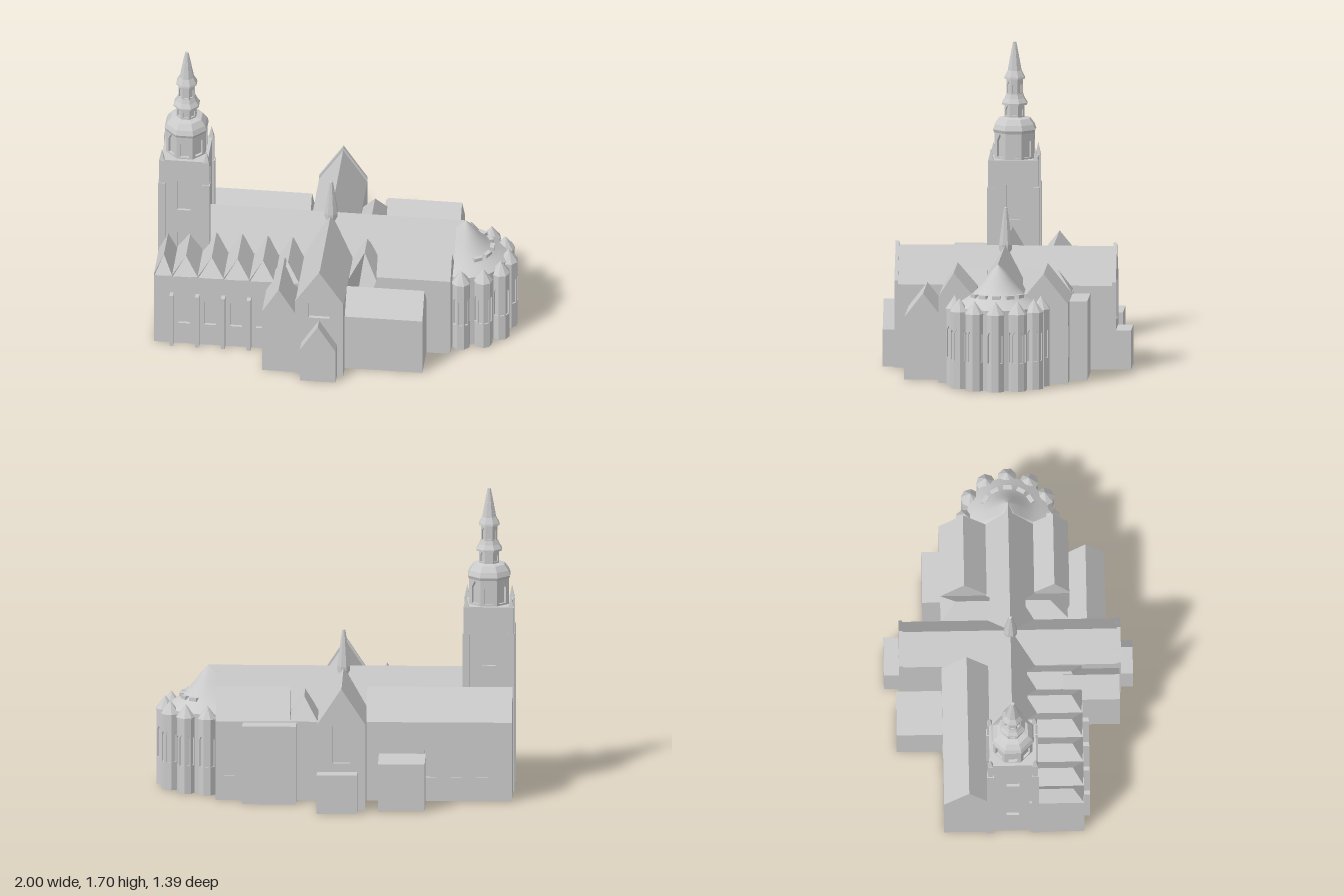
import * as THREE from 'three';

const grey = new THREE.MeshStandardMaterial({ color: 0xcccccc });
const faceted = new THREE.MeshStandardMaterial({ color: 0xcccccc, flatShading: true });
const CZ = 0.012; // z of the main axis
const D = 0.015; // depth of window recesses
const OCT = Math.PI / 8;

function add(parent, name, geo, mat = grey) {
  const m = new THREE.Mesh(geo, mat);
  m.name = name;
  parent.add(m);
  return m;
}

function block(parent, name, x0, x1, y0, y1, z0, z1) {
  const g = new THREE.BoxGeometry(x1 - x0, y1 - y0, z1 - z0);
  g.translate((x0 + x1) / 2, (y0 + y1) / 2, (z0 + z1) / 2);
  return add(parent, name, g);
}

const poly = pts => new THREE.Shape(pts.map(p => new THREE.Vector2(p[0], p[1])));
const gable = (c0, c1, y0, eave, ridge, rc = (c0 + c1) / 2) =>
  [[c0, y0], [c1, y0], [c1, eave], [rc, ridge], [c0, eave]];

// Pitched building whose ridge runs along z
function houseZ(parent, name, x0, x1, z0, z1, y0, eave, ridge, rx) {
  const g = new THREE.ExtrudeGeometry(poly(gable(x0, x1, y0, eave, ridge, rx)), { depth: z1 - z0, bevelEnabled: false });
  g.translate(0, 0, z0);
  return add(parent, name, g);
}

// Pitched building whose ridge runs along x
function houseX(parent, name, x0, x1, z0, z1, y0, eave, ridge, rz = (z0 + z1) / 2) {
  const g = new THREE.ExtrudeGeometry(poly(gable(-z1, -z0, y0, eave, ridge, -rz)), { depth: x1 - x0, bevelEnabled: false });
  g.rotateY(Math.PI / 2).translate(x0, 0, 0);
  return add(parent, name, g);
}

// Cross roof with its outer end hipped back to zHip
function hipBay(parent, name, x0, x1, zIn, zOut, zHip, y0, eave, ridge, rx) {
  const m = houseZ(parent, name, x0, x1, Math.min(zIn, zOut), Math.max(zIn, zOut), y0, eave, ridge, rx);
  const p = m.geometry.attributes.position;
  for (let i = 0; i < p.count; i++)
    if (p.getY(i) > ridge - 1e-4 && Math.abs(p.getZ(i) - zOut) < 1e-4) p.setZ(i, zHip);
  m.geometry.computeVertexNormals();
}

// Wall panel pierced by pointed windows [x, halfWidth, bottom, top]; outer face at z = 0
function panel(parent, name, outline, windows, depth = D) {
  const s = poly(outline);
  for (const [x, w, b, t] of windows)
    s.holes.push(new THREE.Path([[x - w, b], [x - w, t - w * 1.6], [x, t], [x + w, t - w * 1.6], [x + w, b]]
      .map(p => new THREE.Vector2(p[0], p[1]))));
  const g = new THREE.ExtrudeGeometry(s, { depth, bevelEnabled: false });
  g.translate(0, 0, -depth);
  return add(parent, name, g);
}
const rect = (x0, x1, y0, y1) => [[x0, y0], [x1, y0], [x1, y1], [x0, y1]];

// Eight-sided turned part; radii measured to the flats
function octLathe(parent, name, pts) {
  const g = new THREE.LatheGeometry(pts.map(([r, y]) => new THREE.Vector2(r / Math.cos(OCT), y)), 8, OCT);
  return add(parent, name, g, faceted);
}

// Eight-sided stage with a window in every face
function octStage(parent, name, a, y0, y1, win, depth) {
  const core = a - depth, w = a * Math.tan(OCT);
  octLathe(parent, name + 'Core', [[0, y0], [core, y0], [core, y1], [0, y1]]);
  for (let i = 0; i < 8; i++) {
    const f = panel(parent, name + 'Face', rect(-w, w, y0, y1), [win], depth);
    f.rotation.y = i * Math.PI / 4;
    f.position.set(Math.sin(f.rotation.y) * a, 0, Math.cos(f.rotation.y) * a);
  }
}

function tower() {
  const t = new THREE.Group();
  t.name = 'tower';
  t.position.set(-0.855, 0, 0.008);
  block(t, 'towerCore', -0.115, 0.115, 0, 1.05, -0.115, 0.115);
  for (let i = 0; i < 4; i++) {
    const side = new THREE.Group();
    side.name = 'towerSide';
    side.rotation.y = i * Math.PI / 2;
    t.add(side);
    const low = i === 3 ? [0, 0.035, 0.25, 0.62] : [0, 0.037, 0.4, 0.62];
    panel(side, 'towerWall', rect(-0.13, 0.13, 0, 1.05), [[0, 0.037, 0.715, 0.97], low]).position.z = 0.13;
    block(side, 'cornerButtressLower', 0.105, 0.145, 0, 0.9, 0.105, 0.145);
    block(side, 'cornerButtressUpper', 0.11, 0.14, 0.9, 1.05, 0.11, 0.14);
    const pin = add(side, 'pinnacle', new THREE.ConeGeometry(0.02, 0.07, 4, 1).rotateY(Math.PI / 4), faceted);
    pin.position.set(0.125, 1.085, 0.125);
  }
  // Octagonal lantern, bell roofs and spire
  octStage(t, 'belfry', 0.11, 1.05, 1.2, [0, 0.025, 1.06, 1.19], D);
  octLathe(t, 'belfryRoof', [[0, 1.195], [0.112, 1.195], [0.118, 1.212], [0.108, 1.24], [0.085, 1.272], [0.055, 1.28], [0, 1.28]]);
  octStage(t, 'lantern', 0.055, 1.28, 1.355, [0, 0.014, 1.29, 1.345], 0.008);
  octLathe(t, 'lanternRoof', [[0, 1.35], [0.07, 1.35], [0.07, 1.36], [0.055, 1.385], [0.046, 1.41], [0, 1.41]]);
  octStage(t, 'upperLantern', 0.045, 1.4, 1.5, [0, 0.011, 1.415, 1.48], 0.007);
  octLathe(t, 'spire', [[0, 1.495], [0.057, 1.495], [0.055, 1.505], [0.038, 1.54], [0.024, 1.62], [0.01, 1.695], [0.01, 1.7], [0, 1.7]]);
  return t;
}

function apse() {
  const a = new THREE.Group();
  a.name = 'apse';
  a.position.set(0.71, 0, CZ);
  // Half round east end, straightened on its west side
  const round = (name, pts) => {
    const g = new THREE.LatheGeometry(pts.map(p => new THREE.Vector2(...p)), 48);
    const p = g.attributes.position;
    for (let i = 0; i < p.count; i++) if (p.getX(i) < -1e-4) p.setX(i, -0.05);
    add(a, name, g);
  };
  round('apseFloor', [[0, 0], [0.23, 0]]);
  round('apseWall', [[0.23, 0], [0.23, 0.45]]);
  round('apseRoof', [[0.23, 0.45], [0.19, 0.478], [0.15, 0.505], [0.11, 0.545], [0.07, 0.595], [0.035, 0.642], [0, 0.68]]);
  // Roof lights
  for (const deg of [-58, -30, 0, 30, 58]) {
    const r = deg * Math.PI / 180;
    const b = add(a, 'roofLight', new THREE.BoxGeometry(0.025, 0.02, 0.048));
    b.position.set(Math.cos(r) * 0.148, 0.512, -Math.sin(r) * 0.148);
    b.rotation.y = r;
  }
  // Ring of seven small chapels
  for (let i = -3; i <= 3; i++) {
    const r = i * Math.PI / 6;
    const c = new THREE.Group();
    c.name = 'chapel';
    c.position.set(Math.cos(r) * 0.24, 0, -Math.sin(r) * 0.24);
    c.rotation.y = r;
    a.add(c);
    octStage(c, 'chapel', 0.047, 0, 0.43, [0, 0.012, 0.16, 0.335], 0.008);
    octLathe(c, 'chapelRoof', [[0, 0.425], [0.05, 0.425], [0.05, 0.432], [0, 0.505]]);
  }
  return a;
}

export function createModel() {
  const g = new THREE.Group();
  g.name = 'church';
  g.add(tower(), apse());

  // Nave and transept
  houseX(g, 'nave', -0.75, 0.71, -0.12, 0.15, 0, 0.46, 0.68, CZ);
  houseZ(g, 'transept', -0.18, 0.09, -0.59, 0.605, 0, 0.47, 0.675);
  const gableWall = gable(-0.135, 0.135, 0, 0.49, 0.695);
  const win = [[0, 0.058, 0.385, 0.575]];
  panel(g, 'southGable', gableWall, win, 0.02).position.set(-0.045, 0, 0.625);
  const ng = panel(g, 'northGable', gableWall, [[0, 0.05, 0.27, 0.56]], 0.02);
  ng.position.set(-0.045, 0, -0.61);
  ng.rotation.y = Math.PI;
  houseZ(g, 'southPorch', -0.145, 0.055, 0.62, 0.692, 0, 0.21, 0.37);
  block(g, 'northPorch', -0.135, 0.09, 0, 0.22, -0.695, -0.6);

  // Crossing spirelet
  octLathe(g, 'crossingSpire', [[0, 0.6], [0.034, 0.6], [0.036, 0.68], [0.027, 0.75], [0.009, 0.885], [0, 0.89]])
    .position.set(-0.045, 0, CZ);

  // South aisle: a row of cross roofs over a buttressed wall
  block(g, 'southAisle', -0.995, -0.18, 0, 0.45, 0.1, 0.39);
  const bays = [-0.995, -0.893, -0.75, -0.605, -0.46, -0.32, -0.18];
  for (let i = 0; i < 6; i++)
    hipBay(g, 'southAisleRoof', bays[i], bays[i + 1], 0.1, 0.405, 0.345, 0.44, 0.455, 0.553,
      i ? undefined : -0.945);
  const aisleWindows = [-0.825, -0.68, -0.535, -0.39].map(x => [x, 0.033, 0.135, 0.34]);
  panel(g, 'southAisleWall', rect(-0.995, -0.3, 0, 0.45), aisleWindows).position.z = 0.405;
  for (const x of bays.slice(1, 5)) block(g, 'buttress', x - 0.011, x + 0.011, 0, 0.34, 0.4, 0.44);
  houseZ(g, 'southAnnex', -0.365, -0.18, 0.3, 0.615, 0, 0.4, 0.553);

  // North aisle under one long roof
  block(g, 'northAisle', -0.99, -0.18, 0, 0.45, -0.36, -0.1);
  houseX(g, 'northAisleRoof', -0.99, -0.18, -0.375, -0.1, 0.44, 0.45, 0.62, -0.235);
  const nw = panel(g, 'northAisleWall', rect(0.18, 0.99, 0, 0.45), aisleWindows.map(w => [-w[0], ...w.slice(1)]));
  nw.position.z = -0.375;
  nw.rotation.y = Math.PI;
  block(g, 'northVestry', -0.51, -0.25, 0, 0.27, -0.63, -0.37);

  // Choir aisles, each with a hipped bay beside the transept
  houseX(g, 'southChoirAisle', 0.245, 0.66, 0.15, 0.345, 0, 0.49, 0.62, 0.262);
  hipBay(g, 'southChoirBay', 0.09, 0.245, 0.1, 0.345, 0.235, 0, 0.465, 0.575);
  block(g, 'northChoirAisle', 0.09, 0.66, 0, 0.45, -0.36, -0.1);
  houseX(g, 'northChoirRoof', 0.245, 0.66, -0.375, -0.1, 0.44, 0.45, 0.62, -0.24);
  hipBay(g, 'northChoirBay', 0.09, 0.245, -0.1, -0.375, -0.29, 0.44, 0.45, 0.575);
  const cw = panel(g, 'northChoirWall', rect(-0.66, -0.09, 0, 0.45), [[-0.585, 0.03, 0.14, 0.36]]);
  cw.position.z = -0.375;
  cw.rotation.y = Math.PI;

  // Side buildings of the choir
  houseX(g, 'southSacristy', 0.09, 0.525, 0.335, 0.545, 0, 0.35, 0.485, 0.44);
  block(g, 'northSacristy', 0.21, 0.51, 0, 0.445, -0.475, -0.37);
  return g;
}
